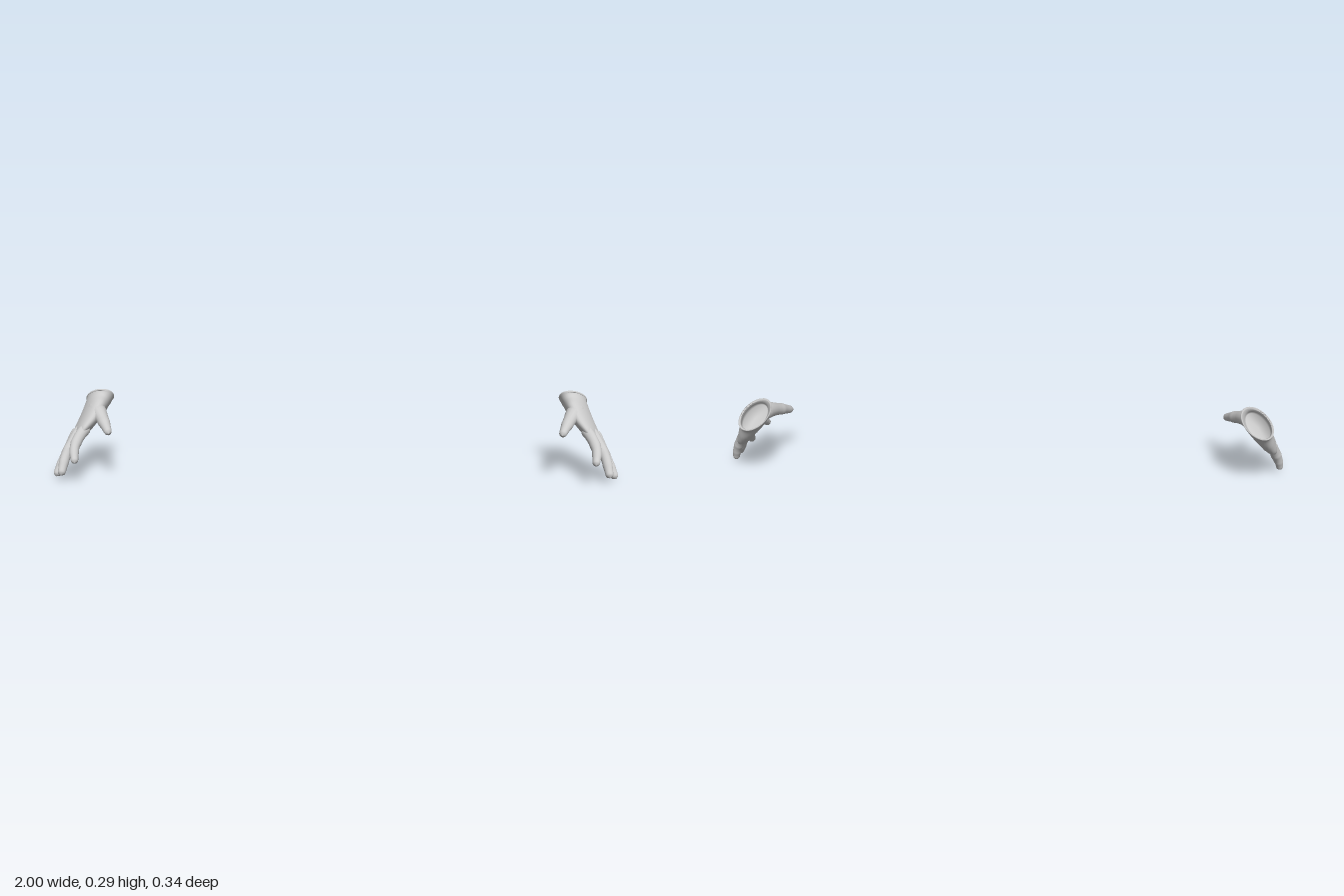
import * as THREE from 'three';

const V = (a) => new THREE.Vector3(...a);
const curve = (pts) => new THREE.CatmullRomCurve3(pts.map(V), false, 'centripetal');
const material = new THREE.MeshStandardMaterial({ color: 0xcccccc });

// Skins a list of closed rings of points; side = -1 mirrors in x and flips the winding.
function loft(name, rings, side) {
  const n = rings[0].length, pos = [], idx = [];
  rings.forEach((ring) => ring.forEach((p) => pos.push(p.x * side, p.y, p.z)));
  for (let i = 0; i < rings.length - 1; i++) {
    for (let j = 0; j < n; j++) {
      const a = i * n + j, b = i * n + (j + 1) % n, c = a + n, d = b + n;
      if (side > 0) idx.push(a, b, c, b, d, c);
      else idx.push(a, c, b, b, c, d);
    }
  }
  const geo = new THREE.BufferGeometry();
  geo.setAttribute('position', new THREE.Float32BufferAttribute(pos, 3));
  geo.setIndex(idx);
  geo.computeVertexNormals();
  const mesh = new THREE.Mesh(geo, material);
  mesh.name = name;
  return mesh;
}

// Ring of points around c; hollow flattens the palm side (+v).
function ringAt(c, u, v, ru, rv, n, hollow = 0) {
  return Array.from({ length: n }, (_, j) => {
    const t = (j / n) * Math.PI * 2, s = Math.sin(t), k = Math.cos(t);
    const dent = s > 0 ? 1 - hollow * s * s : 1;
    return c.clone().addScaledVector(u, ru * k).addScaledVector(v, rv * s * dent);
  });
}

// Sections from cuff to knuckles: little-finger edge, index edge, half thickness.
const sections = [
  [[0.902, 0.210, -0.165], [0.820, 0.284, -0.080], 0.045],
  [[0.904, 0.197, -0.146], [0.830, 0.266, -0.066], 0.039],
  [[0.920, 0.152, -0.120], [0.834, 0.252, -0.025], 0.037],
  [[0.938, 0.118, -0.090], [0.848, 0.216, 0.028], 0.033],
  [[0.948, 0.103, -0.062], [0.873, 0.184, 0.064], 0.025],
  [[0.950, 0.100, -0.052], [0.884, 0.170, 0.072], 0.019],
];
const littleEdge = curve(sections.map((s) => s[0]));
const indexEdge = curve(sections.map((s) => s[1]));
const thickness = curve(sections.map((s, i) => [i, s[2], 0]));

// One palm ring at t, scaled in and pushed along the hand axis.
function palmRing(t, scale = 1, push = 0) {
  const a = littleEdge.getPoint(t), b = indexEdge.getPoint(t);
  const c = a.clone().add(b).multiplyScalar(0.5);
  const half = a.distanceTo(b) / 2;
  const u = b.clone().sub(a).normalize();
  const w = t < 0.1 ? V([0.05, -0.75, 0.66]) : V([0.055, -0.105, 0.13]);
  w.addScaledVector(u, -w.dot(u)).normalize();
  const v = w.clone().cross(u);
  c.addScaledVector(w, push);
  const hollow = 0.3 * THREE.MathUtils.smoothstep(t, 0.25, 0.6);
  return ringAt(c, u, v, half * scale, thickness.getPoint(t).y * scale, 32, hollow);
}

function makePalm(side) {
  const rings = [];
  // hollow inside of the cuff, from its floor out to the rim
  [[0.3, 0.001], [0.3, 0.8], [0.2, 0.88], [0.1, 0.89], [0.03, 0.91], [0, 0.94]]
    .forEach(([t, s]) => rings.push(palmRing(t, s)));
  // outer skin
  for (let i = 0; i <= 30; i++) rings.push(palmRing(i / 30));
  // rounded knuckle end
  for (let i = 1; i <= 6; i++) {
    const a = (i / 6) * Math.PI / 2;
    rings.push(palmRing(1, Math.max(Math.cos(a), 0.001), 0.012 * Math.sin(a)));
  }
  return loft('palmAndCuff', rings, side);
}

// Tapered finger with rounded ends and slight swelling at the joints.
function makeFinger({ name, path, radii, joints }, side) {
  const line = curve(path), length = line.getLength(), steps = 36;
  const frames = line.computeFrenetFrames(steps, false);
  const rings = [];
  for (let i = 0; i <= steps; i++) {
    const t = i / steps, f = t * (radii.length - 1);
    const k = Math.min(Math.floor(f), radii.length - 2);
    let r = THREE.MathUtils.lerp(radii[k], radii[k + 1], f - k);
    joints.forEach((q) => { r *= 1 + 0.07 * Math.exp(-(((t - q) / 0.06) ** 2)); });
    const end = Math.min(t, 1 - t) * length;
    if (end < r) r *= Math.sqrt(Math.max(1 - (1 - end / r) ** 2, 1e-5));
    rings.push(ringAt(line.getPointAt(t), frames.normals[i], frames.binormals[i], r, r, 16));
  }
  return loft(name, rings, side);
}

const fingers = [
  { name: 'thumb', radii: [0.032, 0.031, 0.023, 0.018, 0.012], joints: [0.68],
    path: [[0.874, 0.222, -0.065], [0.842, 0.214, -0.008], [0.814, 0.194, 0.045], [0.787, 0.168, 0.1]] },
  { name: 'indexFinger', radii: [0.021, 0.019, 0.016, 0.012], joints: [0.5, 0.76],
    path: [[0.877, 0.175, 0.03], [0.894, 0.156, 0.065], [0.906, 0.122, 0.115], [0.896, 0.081, 0.168]] },
  { name: 'middleFinger', radii: [0.021, 0.019, 0.017, 0.013], joints: [0.5, 0.76],
    path: [[0.9, 0.168, 0.005], [0.92, 0.138, 0.035], [0.946, 0.085, 0.082], [0.955, 0.026, 0.134]] },
  { name: 'ringFinger', radii: [0.021, 0.018, 0.017, 0.013], joints: [0.5, 0.76],
    path: [[0.919, 0.155, -0.018], [0.938, 0.12, 0.005], [0.965, 0.06, 0.041], [0.989, 0.004, 0.074]] },
  { name: 'littleFinger', radii: [0.02, 0.018, 0.015, 0.011], joints: [0.5, 0.76],
    path: [[0.926, 0.14, -0.053], [0.945, 0.107, -0.036], [0.968, 0.062, -0.018], [0.981, 0.016, -0.004]] },
];

export function createModel() {
  const model = new THREE.Group();
  model.name = 'gloves';
  for (const [name, side] of [['leftGlove', 1], ['rightGlove', -1]]) {
    const glove = new THREE.Group();
    glove.name = name;
    glove.add(makePalm(side));
    fingers.forEach((f) => glove.add(makeFinger(f, side)));
    model.add(glove);
  }
  return model;
}
